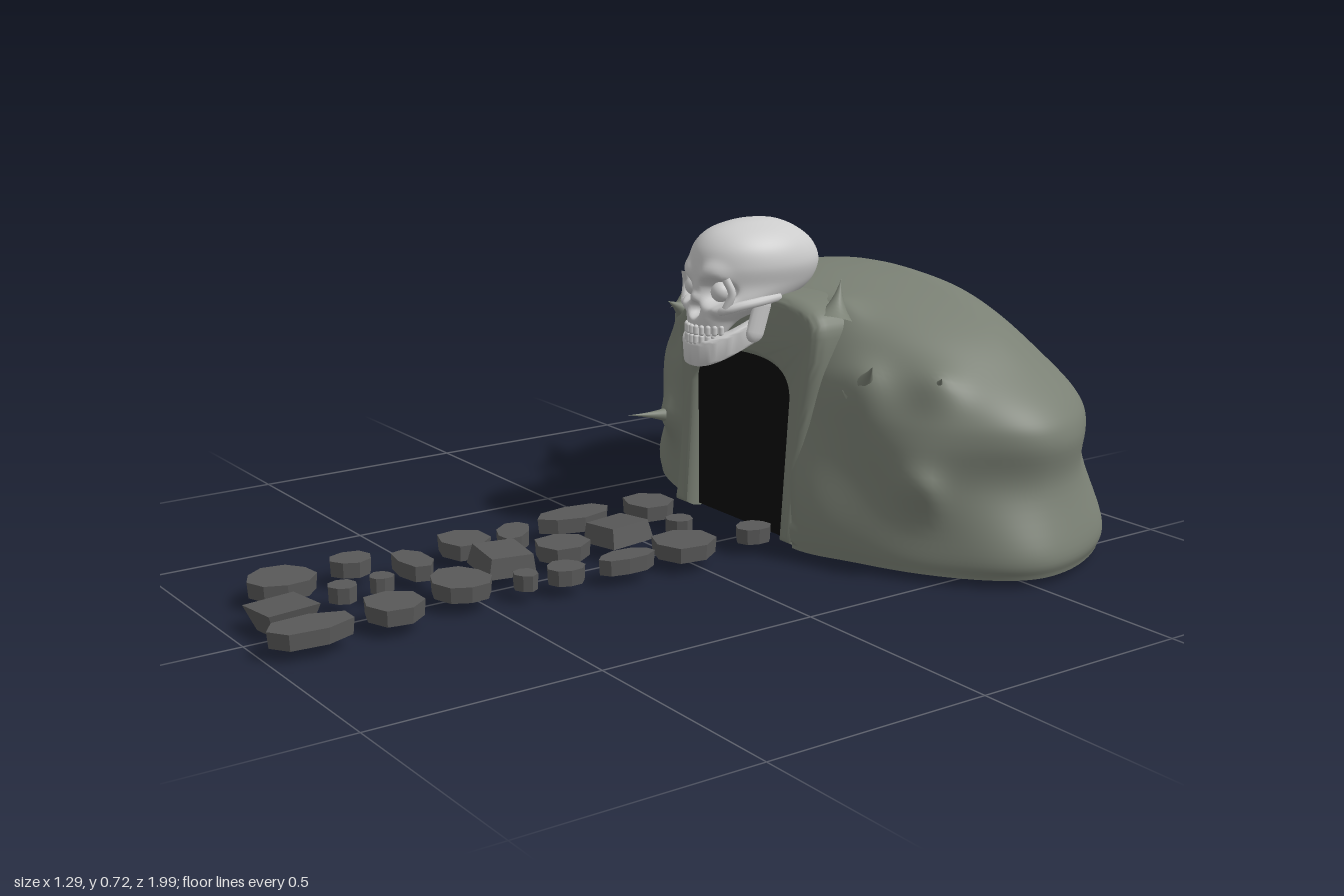
import * as THREE from 'three';
import { toCreasedNormals } from 'three/addons/utils/BufferGeometryUtils.js';

const rock = new THREE.MeshStandardMaterial({ color: 0x7a8074 });
const stone = new THREE.MeshStandardMaterial({ color: 0x585858, flatShading: true });
const dark = new THREE.MeshStandardMaterial({ color: 0x0a0a0a });
const bone = new THREE.MeshStandardMaterial({ color: 0xcccccc });

function add(parent, name, geometry, material, x = 0, y = 0, z = 0) {
  const mesh = new THREE.Mesh(geometry, material);
  mesh.name = name;
  mesh.position.set(x, y, z);
  parent.add(mesh);
  return mesh;
}

// Smooth closed loft through levels [y, xMin, xMax, zFront, zBack, zCentre], bottom to top
function loft(levels, rows, n, deform) {
  const A = new THREE.CatmullRomCurve3(levels.map(l => new THREE.Vector3(l[0], l[1], l[2])), false, 'catmullrom');
  const B = new THREE.CatmullRomCurve3(levels.map(l => new THREE.Vector3(l[3], l[4], l[5])), false, 'catmullrom');
  const pos = [], index = [], v = new THREE.Vector3();
  for (let i = 0; i <= rows; i++) {
    const a = A.getPoint(i / rows), b = B.getPoint(i / rows), cx = (a.y + a.z) / 2;
    for (let j = 0; j < n; j++) {
      const t = j / n * Math.PI * 2, s = Math.sin(t);
      v.set(cx + (a.z - cx) * Math.cos(t), a.x, b.z + (s > 0 ? b.x - b.z : b.z - b.y) * s);
      deform(v, t);
      pos.push(v.x, v.y, v.z);
      if (i < rows) {
        const k = (j + 1) % n, p = i * n;
        index.push(p + j, p + n + j, p + n + k, p + j, p + n + k, p + k);
      }
    }
  }
  // flat underside with its own vertices, and a tip point
  const base = pos.length / 3, l0 = levels[0], l1 = levels[levels.length - 1];
  pos.push(...pos.slice(0, n * 3), 0, l0[0], l0[5], (l1[1] + l1[2]) / 2, l1[0], l1[5]);
  for (let j = 0; j < n; j++) {
    const k = (j + 1) % n;
    index.push(base + n, base + j, base + k, base + n + 1, rows * n + k, rows * n + j);
  }
  const g = new THREE.BufferGeometry();
  g.setAttribute('position', new THREE.Float32BufferAttribute(pos, 3));
  g.setIndex(index);
  g.computeVertexNormals();
  return g;
}

const bump = (v, x, y, z, r) => Math.exp(-((v.x - x) ** 2 + (v.y - y) ** 2 + (v.z - z) ** 2) / (r * r));

function buildCave() {
  const cave = new THREE.Group();
  cave.name = 'cave';
  // horns: root, tip, root radius
  const horns = [
    [[-0.46, 0.41, -0.39], [-0.56, 0.515, -0.46], 0.06], [[-0.42, 0.43, -0.36], [-0.405, 0.47, -0.285], 0.045],
    [[-0.22, 0.53, -0.32], [-0.243, 0.645, -0.36], 0.045], [[0.185, 0.52, -0.31], [0.17, 0.605, -0.34], 0.045],
    [[0.295, 0.39, -0.3], [0.36, 0.455, -0.27], 0.045], [[0.43, 0.4, -0.385], [0.475, 0.44, -0.36], 0.035],
    [[-0.345, 0.205, -0.27], [-0.355, 0.22, -0.135], 0.028], [[0.45, 0.2, -0.33], [0.485, 0.215, -0.315], 0.03],
  ].map(([a, b, r]) => {
    const root = new THREE.Vector3(...a), axis = new THREE.Vector3(...b).sub(root);
    return { root, r, len: axis.length(), axis: axis.normalize() };
  });

  // lumpy mound, swelling at the horn roots and pressed in behind the doorway
  add(cave, 'mound', loft([
    [0.02, -0.635, 0.635, -0.21, -0.992, -0.55], [0.07, -0.645, 0.645, -0.21, -1.0, -0.55],
    [0.2, -0.605, 0.6, -0.215, -0.975, -0.55], [0.3, -0.635, 0.613, -0.22, -0.935, -0.55],
    [0.36, -0.605, 0.585, -0.225, -0.9, -0.55], [0.43, -0.52, 0.5, -0.235, -0.845, -0.55],
    [0.5, -0.43, 0.4, -0.25, -0.775, -0.56], [0.55, -0.31, 0.28, -0.29, -0.715, -0.57],
    [0.58, -0.17, 0.13, -0.42, -0.65, -0.59], [0.59, -0.04, 0.0, -0.57, -0.61, -0.6],
  ], 60, 180, (v, t) => {
    const f = (0.006 * Math.sin(5 * t + 12 * v.y) + 0.004 * Math.sin(8 * t - 20 * v.y + 1)) * (1 - (v.y / 0.6) ** 4)
      + 0.02 * bump(v, 0.45, 0.21, -0.31, 0.08) + 0.02 * bump(v, -0.4, 0.2, -0.28, 0.09)
      - 0.02 * bump(v, 0.52, 0.2, -0.75, 0.12);
    v.x += f * Math.cos(t) * 0.5;
    v.z += f * Math.sin(t);
    v.y += 0.045 * bump(v, 0.33, 0.02, -0.92, 0.14);
    for (const h of horns) v.addScaledVector(h.axis, 0.03 * bump(v, h.root.x, h.root.y, h.root.z, h.r + 0.015));
    if (v.z > -0.4) v.z += 0.02 * Math.exp(-(((v.x - 0.22) / 0.08) ** 2)) * Math.max(0, 1 - v.y / 0.45);
    if (v.x > -0.24 && v.x < 0.155 && v.y < 0.46 && v.z > -0.26) v.z = -0.26;
  }), rock);

  for (const { root, axis, len, r } of horns) {
    const profile = [];
    for (let i = 0; i <= 10; i++) {
      const t = i / 10;
      profile.push(new THREE.Vector2(r * (0.55 * (1 - t) ** 3 + 0.45 * (1 - t)), t * len));
    }
    const horn = add(cave, 'horn', new THREE.LatheGeometry(profile, 16), rock, root.x, root.y, root.z);
    horn.quaternion.setFromUnitVectors(new THREE.Vector3(0, 1, 0), axis);
  }

  // rounded hood and jambs around the doorway, leaning back
  const arch = new THREE.Shape();
  arch.moveTo(-0.27, 0.02);
  arch.bezierCurveTo(-0.25, 0.2, -0.27, 0.35, -0.3, 0.45);
  arch.bezierCurveTo(-0.27, 0.53, -0.14, 0.565, -0.03, 0.565);
  arch.bezierCurveTo(0.1, 0.565, 0.22, 0.57, 0.22, 0.49);
  arch.bezierCurveTo(0.22, 0.36, 0.18, 0.3, 0.18, 0.02);
  arch.lineTo(0.125, 0.02);
  arch.lineTo(0.125, 0.34);
  arch.bezierCurveTo(0.125, 0.39, 0.08, 0.41, 0.0, 0.41);
  arch.bezierCurveTo(-0.12, 0.41, -0.205, 0.39, -0.205, 0.32);
  arch.lineTo(-0.205, 0.02);
  const g = new THREE.ExtrudeGeometry(arch, {
    depth: 0.15, bevelSize: 0.022, bevelThickness: 0.035, bevelOffset: -0.022, bevelSegments: 6, curveSegments: 14,
  });
  const p = g.attributes.position;
  for (let i = 0; i < p.count; i++) p.setZ(i, p.getZ(i) - 0.385 - 0.07 * p.getY(i));
  add(cave, 'doorHood', toCreasedNormals(g, 0.9), rock);
  add(cave, 'doorway', new THREE.BoxGeometry(0.35, 0.4, 0.03), dark, -0.04, 0.225, -0.25);
  return cave;
}

function buildSkull() {
  const skull = new THREE.Group();
  skull.name = 'skull';
  skull.position.x = -0.025;
  // cranium and upper face, with eye and nose hollows, brow and cheeks
  add(skull, 'cranium', loft([
    [0.485, -0.05, 0.05, -0.088, -0.16, -0.13], [0.51, -0.06, 0.06, -0.084, -0.2, -0.14],
    [0.525, -0.073, 0.073, -0.084, -0.25, -0.16], [0.54, -0.088, 0.088, -0.086, -0.3, -0.18],
    [0.56, -0.098, 0.098, -0.09, -0.365, -0.2], [0.59, -0.105, 0.105, -0.09, -0.4, -0.24],
    [0.63, -0.114, 0.114, -0.093, -0.41, -0.25], [0.67, -0.104, 0.104, -0.105, -0.39, -0.25],
    [0.7, -0.076, 0.076, -0.135, -0.35, -0.25], [0.718, -0.036, 0.036, -0.185, -0.305, -0.247],
    [0.724, -0.006, 0.006, -0.238, -0.252, -0.245],
  ], 64, 120, v => {
    if (v.z < -0.19) return;
    const s = Math.abs(v.x), flat = (x, y, r) => Math.exp(-((((s - x) ** 2 + (v.y - y) ** 2) / (r * r)) ** 2));
    v.z += 0.01 * flat(0.045, 0.613, 0.028) - 0.045 * flat(0.048, 0.577, 0.027) + 0.012 * flat(0.07, 0.54, 0.022)
      - 0.03 * flat(0, 0.535, 0.016) + 0.008 * flat(0, 0.562, 0.012);
  }), bone);

  // U-shaped mandible, narrowing to the chin
  const jaw = new THREE.Shape();
  jaw.moveTo(0.085, 0.12);
  jaw.bezierCurveTo(0.08, 0.03, 0.055, 0, 0, 0);
  jaw.bezierCurveTo(-0.055, 0, -0.08, 0.03, -0.085, 0.12);
  jaw.lineTo(-0.063, 0.12);
  jaw.bezierCurveTo(-0.06, 0.045, -0.04, 0.022, 0, 0.022);
  jaw.bezierCurveTo(0.04, 0.022, 0.06, 0.045, 0.063, 0.12);
  const jg = new THREE.ExtrudeGeometry(jaw, {
    depth: 0.04, bevelSize: 0.006, bevelThickness: 0.008, bevelOffset: -0.003, bevelSegments: 3, curveSegments: 14,
  });
  jg.rotateX(-Math.PI / 2);
  const p = jg.attributes.position;
  for (let i = 0; i < p.count; i++) {
    const y = p.getY(i), z = p.getZ(i);
    p.setXYZ(i, p.getX(i) * (0.88 + 2.5 * Math.max(0, y)), y - 0.42 * z, z);
  }
  add(skull, 'mandible', toCreasedNormals(jg, 0.9), bone, 0, 0.418, -0.082);

  // two rows of teeth along an arc
  for (const [y, r] of [[0.492, 0.056], [0.471, 0.053]]) {
    for (let i = -5; i <= 5; i++) {
      const a = i * 0.25;
      const tooth = add(skull, 'tooth', new THREE.CapsuleGeometry(0.0062, 0.012, 3, 8), bone,
        Math.sin(a) * r, y, -0.142 + Math.cos(a) * 0.06);
      tooth.rotation.y = a;
    }
  }

  for (const s of [1, -1]) {
    add(skull, 'eyeball', new THREE.SphereGeometry(0.022, 20, 14), bone, s * 0.048, 0.577, -0.125);
    const tube = (name, pts, r) => add(skull, name, new THREE.TubeGeometry(
      new THREE.CatmullRomCurve3(pts.map(q => new THREE.Vector3(s * q[0], q[1], q[2]))), 20, r, 10), bone);
    tube('cheekbone', [[0.05, 0.535, -0.112], [0.075, 0.541, -0.118], [0.092, 0.55, -0.145], [0.1, 0.556, -0.19], [0.092, 0.56, -0.25]], 0.01);
    tube('socketRim', [[0.076, 0.545, -0.118], [0.084, 0.578, -0.128], [0.075, 0.61, -0.118]], 0.009);
    const ramus = add(skull, 'jawRamus', new THREE.CapsuleGeometry(0.024, 0.06, 4, 12), bone, s * 0.085, 0.515, -0.2);
    ramus.scale.x = 0.45;
    ramus.rotation.set(-0.25, 0, -s * 0.08);
  }
  return skull;
}

function buildPath() {
  const path = new THREE.Group();
  path.name = 'path';
  // x, z, width, depth, turn
  const slabs = [
    [-0.19, -0.08, 0.12, 0.11], [-0.04, -0.06, 0.06, 0.06], [0.1, -0.16, 0.07, 0.08], [0.09, 0.02, 0.13, 0.14],
    [-0.21, 0.11, 0.09, 0.18], [0.105, 0.18, 0.065, 0.13], [-0.045, 0.245, 0.11, 0.12], [-0.175, 0.29, 0.12, 0.07, -0.7],
    [0.095, 0.325, 0.075, 0.08], [-0.19, 0.405, 0.12, 0.11], [0.085, 0.415, 0.055, 0.05], [0.035, 0.54, 0.14, 0.12],
    [-0.13, 0.56, 0.13, 0.07], [-0.21, 0.665, 0.08, 0.09], [-0.07, 0.665, 0.05, 0.05], [0.08, 0.715, 0.12, 0.12],
    [-0.065, 0.755, 0.06, 0.06], [-0.185, 0.835, 0.13, 0.14], [0.1, 0.905, 0.095, 0.18],
  ];
  slabs.forEach(([x, z, w, d, turn = 0], i) => {
    const g = new THREE.CylinderGeometry(0.52, 0.5, 0.034, 7 + i % 3), q = g.attributes.position;
    for (let k = 0; k < q.count; k++) {
      const f = 1 + 0.05 * Math.sin(3 * Math.atan2(q.getZ(k), q.getX(k)) + i * 2.1);
      q.setXYZ(k, q.getX(k) * f * w, q.getY(k), q.getZ(k) * f * d);
    }
    add(path, 'pathStone', g, stone, x, 0.045, z).rotation.y = turn;
  });
  // thick blocks down the middle: x, z, y, height, top radius, bottom radius, tilt
  const blocks = [
    [-0.055, 0.095, 0.056, 0.044, 0.068, 0.078, 0.08], [-0.035, 0.4, 0.056, 0.044, 0.068, 0.078, -0.08],
    [-0.035, 0.9, 0.032, 0.052, 0.08, 0.055, 0.06],
  ];
  for (const [x, z, y, h, top, bottom, tilt] of blocks) {
    const g = new THREE.CylinderGeometry(top, bottom, h, 4);
    g.rotateY(Math.PI / 4);
    add(path, 'pathBlock', g, stone, x, y, z).rotation.set(tilt * 0.5, tilt, tilt);
  }
  return path;
}

export function createModel() {
  const model = new THREE.Group();
  model.name = 'skullCave';
  model.add(buildCave(), buildSkull(), buildPath());
  return model;
}
